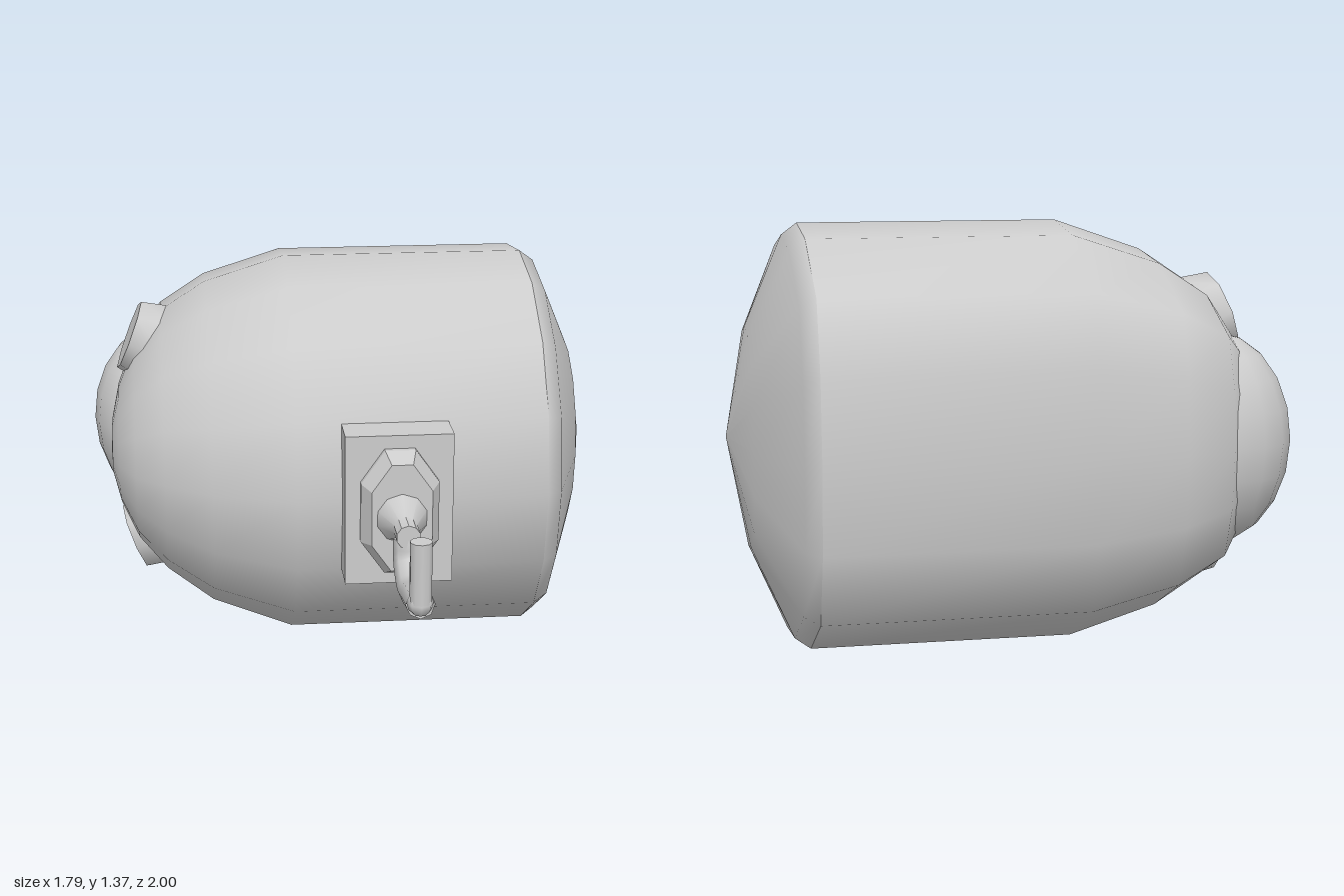
import * as THREE from 'three';
import { toCreasedNormals } from 'three/addons/utils/BufferGeometryUtils.js';

const material = new THREE.MeshStandardMaterial({ color: 0xcccccc, side: THREE.DoubleSide });
const MID_Y = 0.69;

// Half cross-section of the body (z, y), round in front and squarer behind
const HALF = [[1, 0], [0.93, 0.38], [0.71, 0.7], [0.38, 0.92], [0, 1], [-0.4, 0.95], [-0.85, 0.725], [-0.97, 0.39], [-1, 0]];
const SECTION = [...HALF, ...HALF.slice(1, -1).reverse().map(([z, y]) => [z, -y])];

// Skin over stations [x, front z, back z, half height], ordered from +x to -x
function loft(stations) {
  const n = SECTION.length, pos = [], index = [];
  for (const [x, front, back, half] of stations) {
    const mid = half < 0.3 ? (front + back) / 2 : back + (front - back) * 0.49;
    for (const [z, y] of SECTION) pos.push(x, MID_Y + y * half, mid + z * (z > 0 ? front - mid : mid - back));
  }
  for (let i = 0; i < stations.length - 1; i++) {
    for (let j = 0; j < n; j++) {
      const a = i * n + j, b = i * n + (j + 1) % n;
      if (stations[i][3] > 0) index.push(a, b, a + n);
      if (stations[i + 1][3] > 0) index.push(b, b + n, a + n);
    }
  }
  const g = new THREE.BufferGeometry();
  g.setAttribute('position', new THREE.Float32BufferAttribute(pos, 3));
  g.setIndex(index);
  g.computeVertexNormals();
  return g;
}

// Elongated octagon outline
function octagon(w, h) {
  const s = new THREE.Shape();
  [[w, h * 0.5], [w * 0.35, h], [-w * 0.35, h], [-w, h * 0.5], [-w, -h * 0.5], [-w * 0.35, -h], [w * 0.35, -h], [w, -h * 0.5]]
    .forEach(([x, y], i) => (i ? s.lineTo(x, y) : s.moveTo(x, y)));
  return s;
}

export function createModel() {
  const model = new THREE.Group();
  const add = (name, geometry, x = 0, y = 0, z = 0) => {
    const mesh = new THREE.Mesh(geometry, material);
    mesh.name = name;
    mesh.position.set(x, y, z);
    model.add(mesh);
    return mesh;
  };

  // Barrel body with a domed left end
  add('body', loft([
    [0.65, 0.33, -1, 0.687], [-0.2, 0.33, -1, 0.687], [-0.48, 0.235, -0.985, 0.59],
    [-0.64, 0.12, -0.94, 0.48], [-0.74, 0.03, -0.8, 0.35], [-0.8, -0.1, -0.62, 0.21],
    [-0.825, -0.2, -0.45, 0.1], [-0.83, -0.3, -0.3, 0],
  ]));

  // Shallow pointed cap on the opposite end
  add('endCap', loft([
    [0.89, -0.36, -0.36, 0], [0.825, -0.07, -0.67, 0.36], [0.7, 0.3, -0.98, 0.65], [0.65, 0.33, -1, 0.687],
  ]));

  // Rounded lobe on the dome
  add('muzzle', new THREE.SphereGeometry(1, 16, 10), -0.66, MID_Y, -0.68).scale.set(0.24, 0.34, 0.24);

  // Pair of flat-ended stubs, above and below
  for (const side of [1, -1]) {
    const axis = new THREE.Vector3(-0.93, 0.37 * side, 0).normalize();
    const stub = add(side > 0 ? 'upperStub' : 'lowerStub',
      toCreasedNormals(new THREE.CylinderGeometry(0.13, 0.16, 0.14, 8), 0.9));
    stub.quaternion.setFromUnitVectors(new THREE.Vector3(0, 1, 0), axis);
    stub.position.set(-0.755, MID_Y + 0.39 * side, -0.42).addScaledVector(axis, -0.07);
  }

  // Mounting plate and bevelled octagonal block
  const cx = 0.13;
  add('mountPlate', new THREE.BoxGeometry(0.36, 0.52, 0.14), cx, MID_Y, 0.35);
  const block = new THREE.ExtrudeGeometry(octagon(0.1, 0.185), {
    depth: 0.02, bevelEnabled: true, bevelThickness: 0.06, bevelSize: 0.03, bevelSegments: 1,
  });
  add('mountBlock', block, cx, MID_Y, 0.42);

  // Funnel and neck
  const funnel = new THREE.LatheGeometry(
    [[0.09, 0.49], [0.085, 0.5], [0.04, 0.59], [0.04, 0.67], [0, 0.67]].map(([r, y]) => new THREE.Vector2(r, y)), 10);
  funnel.rotateX(Math.PI / 2);
  add('neck', toCreasedNormals(funnel, 0.6), cx, MID_Y, 0);

  // Bent spout with an upright tip
  const path = new THREE.CatmullRomCurve3(
    [[0.67, 0.625], [0.6, 0.64], [0.55, 0.74], [0.57, 0.86], [0.59, 0.97]].map(([y, z]) => new THREE.Vector3(cx, y, z)));
  add('spout', new THREE.TubeGeometry(path, 14, 0.046, 8), 0, 0, 0);
  add('spoutEnd', new THREE.SphereGeometry(0.042, 8, 6), cx, 0.59, 0.958);
  add('spoutTip', new THREE.CylinderGeometry(0.035, 0.035, 0.2, 10), cx, 0.695, 0.965);

  return model;
}
